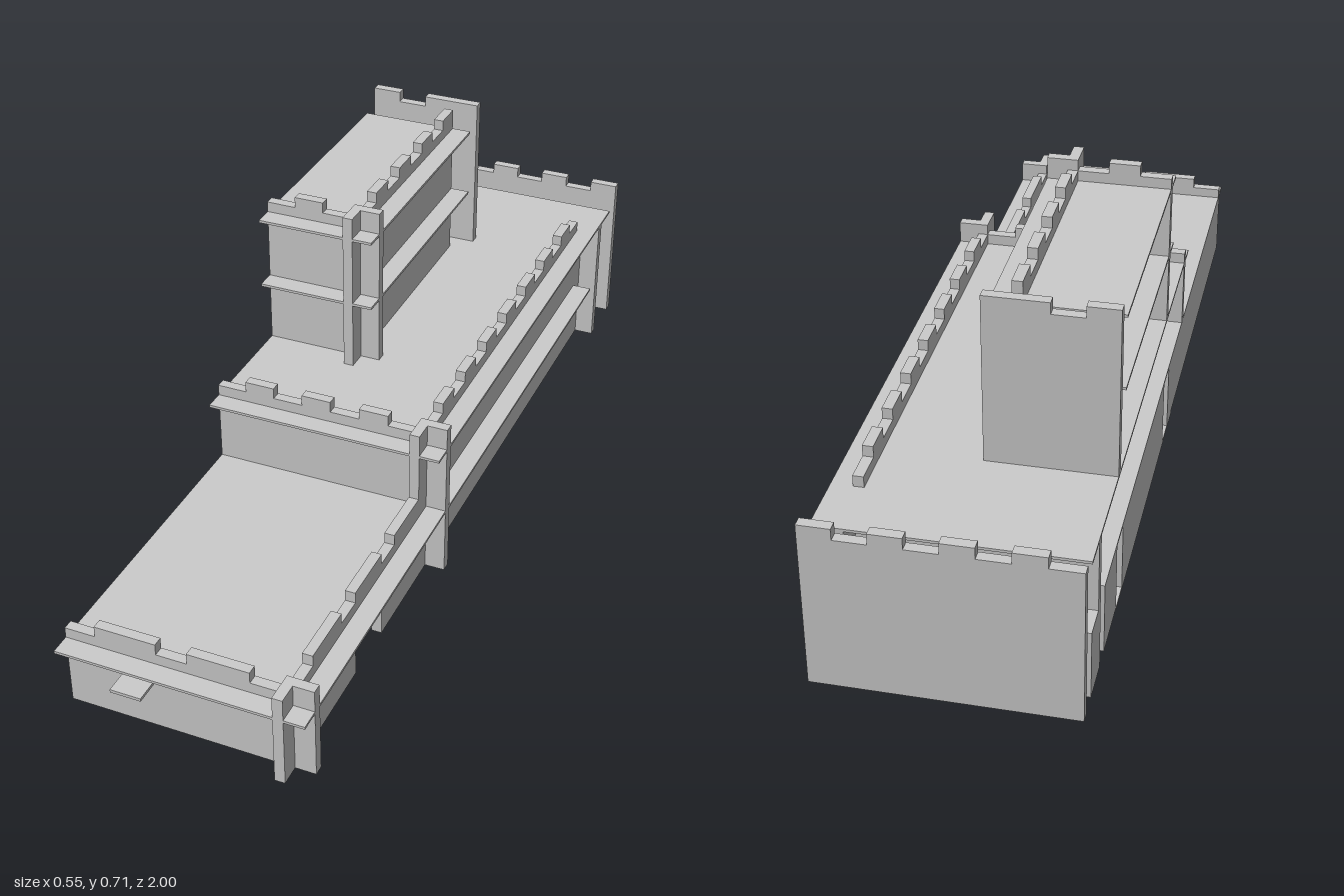
import * as THREE from 'three';

// Everything sits on a grid of U: panel thickness = 1, merlons = 3 wide
const U = 1 / 44;
const BASE = 0.0075, SHEET = 0.006;
const X = (n) => n * U;            // grid x, -12..12
const Z = (n) => -1 + n * U;       // grid z, 0 (back)..88 (front)
const FLOORS = [0.165, 0.328, 0.492, 0.656]; // undersides of the floor sheets

const material = new THREE.MeshStandardMaterial({ color: 0xcccccc, flatShading: true });

export function createModel() {
  const model = new THREE.Group();

  const add = (name, geometry) => {
    const mesh = new THREE.Mesh(geometry, material);
    mesh.name = name;
    model.add(mesh);
  };

  // Box between grid lines in x and z, and real heights in y
  const box = (name, x0, x1, y0, y1, z0, z1) => {
    const g = new THREE.BoxGeometry(X(x1) - X(x0), y1 - y0, Z(z1) - Z(z0));
    g.translate((X(x0) + X(x1)) / 2, (y0 + y1) / 2, (Z(z0) + Z(z1)) / 2);
    add(name, g);
  };

  // Stepped outline: steps are [end, top]; doors are [start, end, top] cut from the bottom
  const outline = (start, steps, bottom, doors, map) => {
    const end = steps[steps.length - 1][0];
    const pts = [[start, bottom]];
    for (const [a, b, top] of doors) pts.push([a, bottom], [a, top], [b, top], [b, bottom]);
    pts.push([end, bottom]);
    for (let i = steps.length - 1; i >= 0; i--) {
      const from = i ? steps[i - 1][0] : start;
      pts.push([steps[i][0], steps[i][1]], [from, steps[i][1]]);
    }
    return new THREE.Shape(pts.map(([a, y]) => new THREE.Vector2(map(a), y)));
  };
  const extrude = (shape) => new THREE.ExtrudeGeometry(shape, { depth: U, bevelEnabled: false });

  // Panel across the model, back face at grid z
  const crossPanel = (name, z, start, steps, bottom = BASE, doors = []) => {
    const g = extrude(outline(start, steps, bottom, doors, X));
    g.translate(0, 0, Z(z));
    add(name, g);
  };

  // Panel along the model, right face at grid x
  const sidePanel = (name, x, start, steps, bottom = BASE, doors = []) => {
    const g = extrude(outline(start, steps, bottom, doors, Z));
    g.rotateY(-Math.PI / 2);
    g.translate(X(x + 1), 0, 0);
    add(name, g);
  };

  // Battlement steps of equal width, alternating low and high
  const battlement = (from, to, low, high, highFirst = false, step = 3) => {
    const steps = [];
    for (let a = from, up = highFirst; a < to; a += step, up = !up) {
      steps.push([a + step, up ? high : low]);
    }
    return steps;
  };

  const GATE = [0.195, 0.22], HALL = [0.359, 0.384], TOWER = [0.686, 0.711];

  // Floors
  box('lowerFloor', -12, 12, FLOORS[0], FLOORS[0] + SHEET, 9, 87);
  box('hallRoof', -12, 12, FLOORS[1], FLOORS[1] + SHEET, 3, 57);
  box('towerFloor', -12, 0, FLOORS[2], FLOORS[2] + SHEET, 18, 45);
  box('towerRoof', -12, 0, FLOORS[3], FLOORS[3] + SHEET, 18, 45);
  box('groundPlate', -12, -9, 0, BASE, 15, 48);

  // Cross panels
  crossPanel('frontWall', 84, -12, [
    [-9, GATE[0]], [-3, GATE[1]], [0, GATE[0]], [6, GATE[1]], [9, GATE[0]], [12, GATE[1]],
  ]);
  box('frontLedge', -6, -3, 0.131, 0.138, 84.5, 88);
  crossPanel('hallFrontWall', 54, -12, battlement(-12, 12, ...HALL), BASE, [[-6, -3, 0.13]]);
  crossPanel('hallRearPartition', 6, -12, [[12, FLOORS[1]]]);
  crossPanel('backWall', 0, -12, battlement(-12, 12, ...HALL));

  // Long side wall: plain end, hall battlement, then the lower front battlement
  sidePanel('longSideWall', 9, 3, [
    [9, FLOORS[1]],
    ...battlement(9, 57, ...HALL),
    [63, GATE[1]], [66, GATE[0]], [72, GATE[1]], [75, GATE[0]],
    [81, GATE[1]], [84, GATE[0]], [87, GATE[1]],
  ], BASE, [[66, 72, FLOORS[0]]]);

  // Open side: only the lower storey is walled, with gaps as doorways
  for (const [a, b] of [[3, 6], [9, 15], [18, 42], [45, 54], [55, 84]]) {
    sidePanel('openSideWall', -12, a, [[b, FLOORS[0]]]);
  }

  // Tower
  const towerBase = FLOORS[1] + SHEET;
  crossPanel('towerFrontWall', 42, -12, battlement(-12, 0, ...TOWER), towerBase);
  crossPanel('towerBackWall', 15, -12, [[-9, TOWER[1]], [-6, TOWER[0]], [0, TOWER[1]]], towerBase);
  sidePanel('towerSideWall', -3, 18, battlement(18, 45, ...TOWER, true), towerBase);

  return model;
}
